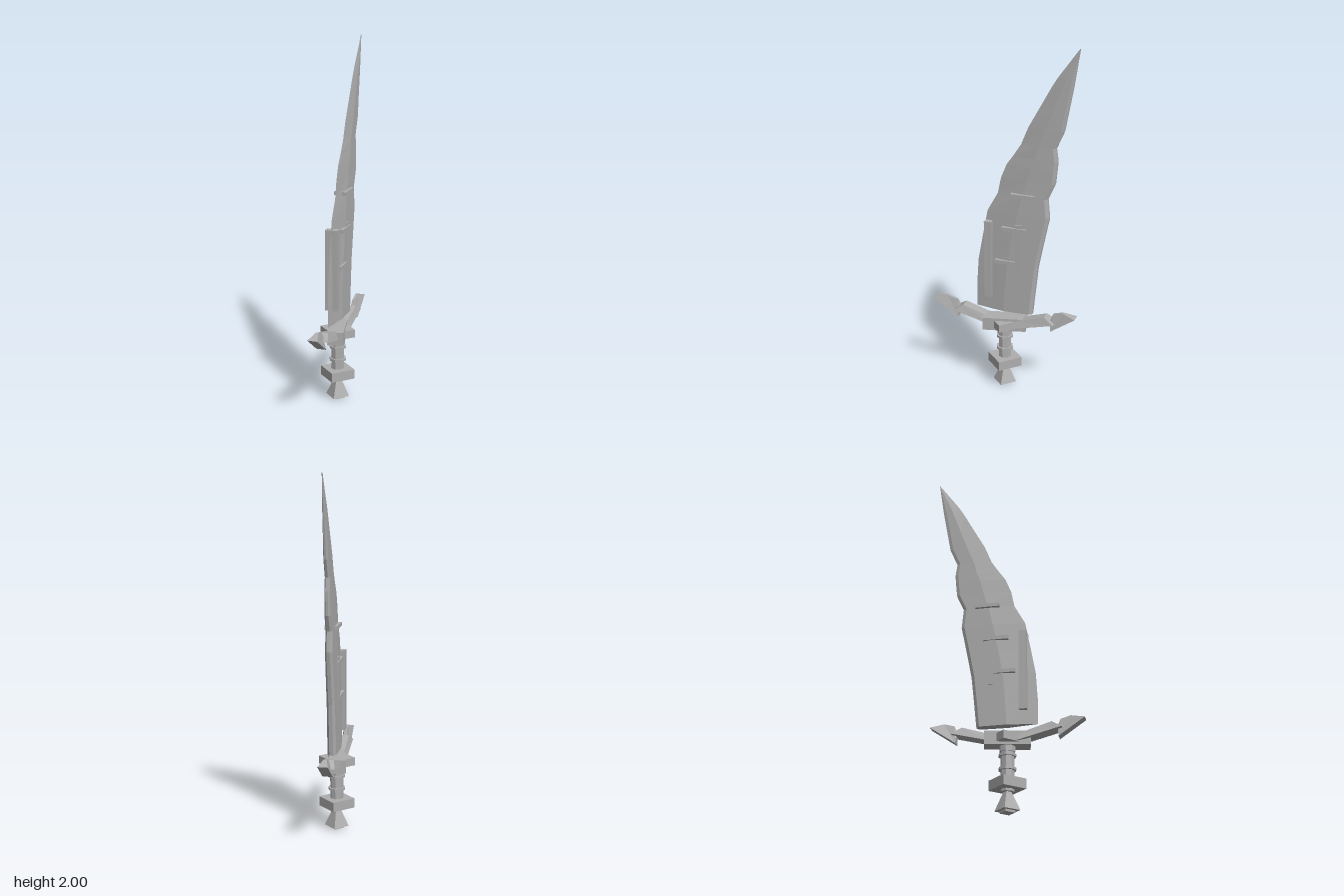
import * as THREE from 'three';

const steel = new THREE.MeshStandardMaterial({ color: 0xaeaeae });
steel.name = 'steel';
steel.flatShading = true;

// Skin a list of rings (arrays of [x, y, z]), counter-clockwise seen from the far end
function loft(rings) {
  const pos = [];
  const n = rings[0].length;
  const tri = (a, b, c) => pos.push(...a, ...b, ...c);
  for (let i = 0; i < rings.length - 1; i++) {
    for (let j = 0; j < n; j++) {
      const k = (j + 1) % n;
      const [p, q] = [rings[i], rings[i + 1]];
      tri(p[j], p[k], q[k]);
      tri(p[j], q[k], q[j]);
    }
  }
  const first = rings[0], last = rings[rings.length - 1];
  for (let j = 1; j < n - 1; j++) {
    tri(first[0], first[j + 1], first[j]);
    tri(last[0], last[j], last[j + 1]);
  }
  const g = new THREE.BufferGeometry();
  g.setAttribute('position', new THREE.Float32BufferAttribute(pos, 3));
  g.computeVertexNormals();
  return g;
}

function add(parent, name, geometry, x = 0, y = 0, z = 0) {
  const m = new THREE.Mesh(geometry, steel);
  m.name = name;
  m.position.set(x, y, z);
  parent.add(m);
  return m;
}

// Box given by its half width and its z and y limits
function plate(parent, name, half, z0, z1, y0, y1) {
  return add(parent, name, new THREE.BoxGeometry(half * 2, y1 - y0, z1 - z0), 0, (y0 + y1) / 2, (z0 + z1) / 2);
}

// Upright cylinder between two heights
function post(parent, name, rTop, rBottom, y0, y1, sides) {
  return add(parent, name, new THREE.CylinderGeometry(rTop, rBottom, y1 - y0, sides), 0, (y0 + y1) / 2, 0);
}

export function createModel() {
  const model = new THREE.Group();
  model.name = 'sword';

  // Blade rows: height, cutting edge z, back z, half thickness
  const rows = [
    [0.47, 0.165, -0.165, 0.027], [0.60, 0.165, -0.178, 0.026], [0.76, 0.155, -0.195, 0.025],
    [0.90, 0.130, -0.222, 0.024], [1.06, 0.100, -0.255, 0.022], [1.17, 0.040, -0.245, 0.020],
    [1.26, 0.022, -0.285, 0.018], [1.34, -0.010, -0.293, 0.017], [1.39, -0.045, -0.297, 0.016],
    [1.46, -0.090, -0.287, 0.015], [1.56, -0.130, -0.330, 0.014], [1.67, -0.190, -0.350, 0.012],
    [1.79, -0.255, -0.372, 0.010], [1.84, -0.285, -0.380, 0.009], [2.00, -0.400, -0.404, 0.002],
  ];
  add(model, 'blade', loft(rows.map(([y, f, b, h]) => {
    const mid = f + (b - f) * 0.5;
    const back = b + Math.min(0.018, (f - b) * 0.15);
    return [[0, y, f], [h, y, mid], [h * 0.9, y, back], [h * 0.4, y, b],
      [-h * 0.4, y, b], [-h * 0.9, y, back], [-h, y, mid]];
  })));

  // Raised rails and bars on both faces of the blade
  plate(model, 'bladeRail', 0.035, 0.068, 0.11, 0.55, 1.005);
  plate(model, 'bladeUpright', 0.029, -0.107, -0.065, 0.705, 1.005);
  plate(model, 'bladeBarTop', 0.035, -0.13, 0.01, 0.963, 0.985);
  plate(model, 'bladeBarLower', 0.035, -0.07, 0.048, 0.765, 0.785);
  plate(model, 'bladeBarHigh', 0.035, -0.175, -0.04, 1.165, 1.185);

  // Guard: a skewed block crossed by a diamond block
  const block = add(model, 'guardBlock', new THREE.BoxGeometry(0.09, 0.075, 0.245), 0, 0.3925, 0);
  block.rotation.y = 0.218;
  post(model, 'guardDiamond', 0.102, 0.102, 0.37, 0.415, 4);

  // Guard arms with pointed ends, one towards the front and one towards the back
  const armRing = (zb, yb, zt, yt) => [[-0.043, yb, zb], [0.043, yb, zb], [0.028, yt, zt], [-0.028, yt, zt]];
  const armGeo = loft([armRing(0, 0.375, 0, 0.415), armRing(0.06, 0.375, 0.06, 0.415),
    armRing(0.295, 0.435, 0.24, 0.47)]);
  // Outline of the end: z, y, half width
  const headOutline = [[0.275, 0.387, 0.028], [0.27, 0.45, 0.012], [0.285, 0.488, 0.007],
    [0.34, 0.503, 0.008], [0.415, 0.483, 0.028]];
  const headGeo = loft([-1, 1].map((s) => headOutline.map(([z, y, w]) => [s * w, y, z])));
  for (const [name, turn] of [['frontArm', 0], ['backArm', Math.PI]]) {
    const arm = new THREE.Group();
    arm.name = name;
    arm.rotation.y = turn;
    add(arm, name + 'Bar', armGeo);
    add(arm, name + 'Point', headGeo);
    model.add(arm);
  }

  // Grip with rings
  post(model, 'grip', 0.037, 0.037, 0.11, 0.36, 8);
  post(model, 'gripCollar', 0.043, 0.043, 0.325, 0.356, 8);
  for (const y of [0.232, 0.306]) post(model, 'gripRing', 0.048, 0.048, y - 0.007, y + 0.007, 8);

  // Pommel: diamond block, flared foot and small base
  post(model, 'pommelBlock', 0.1, 0.1, 0.123, 0.177, 4);
  post(model, 'pommelFoot', 0.014, 0.068, 0.012, 0.128, 4);
  post(model, 'pommelBase', 0.042, 0.042, 0, 0.013, 4);

  return model;
}
